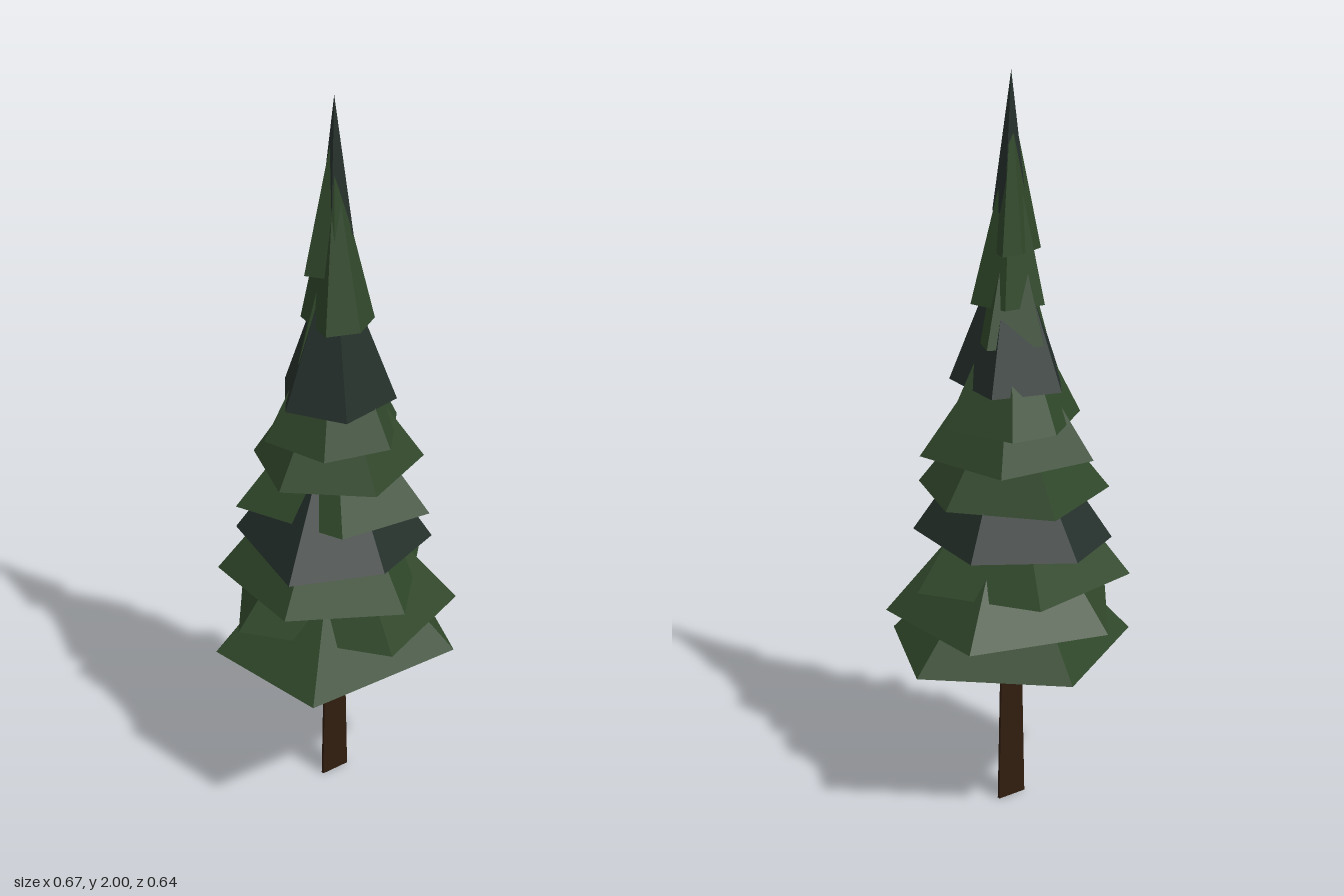
import * as THREE from 'three';

const needles = new THREE.MeshStandardMaterial({ color: 0x30472a });
const shadeNeedles = new THREE.MeshStandardMaterial({ color: 0x242f2a });
const bark = new THREE.MeshStandardMaterial({ color: 0x301d0e });
needles.name = 'needle green';
shadeNeedles.name = 'dark needle green';
bark.name = 'bark brown';
for (const m of [needles, shadeNeedles, bark]) m.flatShading = true;

// Each tier: base height, apex height, then the ragged rim as x, z pairs.
const greenTiers = [
  [0.47, 0.84, 0.305, 0.125, -0.12, 0.32, -0.335, 0.015, -0.11, -0.325, 0.28, -0.215],
  [0.57, 0.97, 0.335, 0.015, 0.1, 0.27, -0.28, 0.08, -0.22, -0.24, 0.155, -0.31],
  [0.675, 1.09, 0.14, 0.235, -0.175, 0.21, -0.31, -0.09, -0.03, -0.3, 0.265, -0.13],
  [0.9, 1.24, 0.23, 0.11, -0.02, 0.2, -0.265, -0.02, -0.075, -0.25, 0.19, -0.14],
  [1.01, 1.36, 0.24, -0.01, 0.07, 0.19, -0.17, 0.12, -0.2, -0.12, 0.06, -0.23],
  [1.105, 1.48, 0.12, 0.12, -0.06, 0.16, -0.19, 0.015, -0.09, -0.18, 0.03, -0.225, 0.18, -0.08],
];
const crownTiers = [
  [1.32, 1.68, 0.09, 0.02, 0.02, 0.07, -0.1, 0.02, -0.07, -0.11, 0.08, -0.13],
  [1.415, 1.84, 0.105, -0.02, 0.05, 0.07, -0.04, 0.08, -0.08, -0.06, 0.03, -0.11],
  [1.55, 1.93, 0.055, 0.01, -0.01, 0.04, -0.08, 0, -0.02, -0.07, 0.035, -0.1],
];
const darkTiers = [
  [0.79, 1.18, 0.255, 0.04, 0.09, 0.21, -0.165, 0.225, -0.255, -0.105, -0.13, -0.27, 0.14, -0.24],
  [1.205, 1.62, 0.155, 0.03, 0, 0.15, -0.14, 0.055, -0.11, -0.14, 0.075, -0.175],
  [1.65, 2.0, 0.045, 0, -0.015, 0.018, -0.04, -0.025, 0.025, -0.068],
];
const AXIS_Z = -0.02;

// Closed low-poly cone over an irregular rim
function tier([base, top, ...rim], material, name) {
  const n = rim.length / 2;
  const apex = [0, top, AXIS_Z], centre = [0, base, AXIS_Z];
  const at = (i) => [rim[(i % n) * 2], base, rim[(i % n) * 2 + 1]];
  const pos = [];
  for (let i = 0; i < n; i++) {
    pos.push(...at(i), ...apex, ...at(i + 1));
    pos.push(...at(i), ...at(i + 1), ...centre);
  }
  const geo = new THREE.BufferGeometry();
  geo.setAttribute('position', new THREE.Float32BufferAttribute(pos, 3));
  geo.computeVertexNormals();
  const mesh = new THREE.Mesh(geo, material);
  mesh.name = name;
  return mesh;
}

export function createModel() {
  const tree = new THREE.Group();
  tree.name = 'coniferTree';

  // Flat tapering trunk, set diagonally
  const trunkGeo = new THREE.BoxGeometry(0.086, 0.55, 0.008);
  const p = trunkGeo.attributes.position;
  for (let i = 0; i < p.count; i++) if (p.getY(i) > 0) p.setX(i, p.getX(i) * 0.7);
  const trunk = new THREE.Mesh(trunkGeo, bark);
  trunk.name = 'trunk';
  trunk.position.set(0, 0.275, AXIS_Z);
  trunk.rotation.y = 0.46;
  tree.add(trunk);

  // Branch tiers
  const foliage = new THREE.Group();
  foliage.name = 'foliage';
  greenTiers.forEach((t, i) => foliage.add(tier(t, needles, `branchTier${i + 1}`)));
  crownTiers.forEach((t, i) => foliage.add(tier(t, needles, `crownTier${i + 1}`)));
  darkTiers.forEach((t, i) => foliage.add(tier(t, shadeNeedles, i === 2 ? 'treeTip' : `darkTier${i + 1}`)));
  tree.add(foliage);
  return tree;
}
